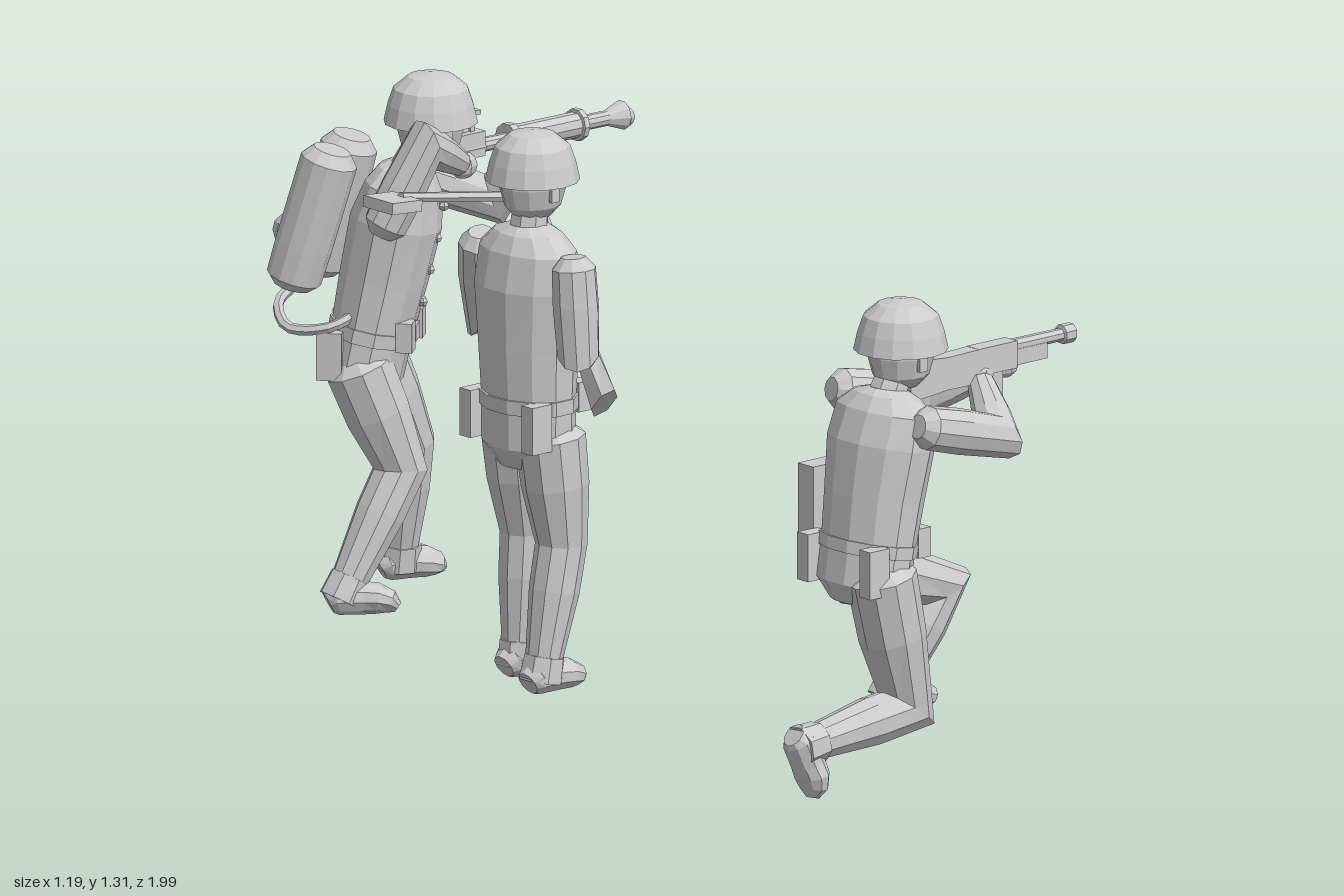
import * as THREE from 'three';

const grey = new THREE.MeshStandardMaterial({ color: 0xcccccc, flatShading: true });
grey.name = 'plain light grey';
const V = (p) => new THREE.Vector3(...p);
const UP = V([0, 1, 0]);

function add(parent, name, geometry, pos) {
  const m = new THREE.Mesh(geometry, grey);
  m.name = name;
  if (pos) m.position.copy(pos);
  parent.add(m);
  return m;
}

// Elliptical rings [point, radius along side, other radius] joined into a capped skin
function sweep(parent, name, rings, side, n = 10) {
  const pos = [], idx = [], k = 1 / Math.cos(Math.PI / n), last = rings.length - 1;
  rings.forEach(([c, ra, rb = ra], i) => {
    const a = rings[Math.max(i - 1, 0)][0], b = rings[Math.min(i + 1, last)][0];
    const d1 = c.clone().sub(a).normalize(), d2 = b.clone().sub(c).normalize();
    const t = d1.clone().add(d2).normalize();
    const miter = i > 0 && i < last ? 1 / Math.max(0.7, t.dot(d2)) : 1;
    const u = side.clone().addScaledVector(t, -side.dot(t)).normalize();
    const v = t.clone().cross(u);
    for (let j = 0; j < n; j++) {
      const w = (j + 0.5) / n * Math.PI * 2;
      const p = c.clone().addScaledVector(u, Math.cos(w) * ra * k).addScaledVector(v, Math.sin(w) * rb * k * miter);
      pos.push(p.x, p.y, p.z);
    }
  });
  for (let i = 0; i < last; i++) for (let j = 0; j < n; j++) {
    const a = i * n + j, b = i * n + (j + 1) % n;
    idx.push(a, b, b + n, a, b + n, a + n);
  }
  const e = last * n;
  for (let j = 1; j < n - 1; j++) idx.push(0, j + 1, j, e, e + j, e + j + 1);
  const g = new THREE.BufferGeometry();
  g.setAttribute('position', new THREE.Float32BufferAttribute(pos, 3));
  g.setIndex(idx);
  g.computeVertexNormals();
  return add(parent, name, g);
}

// Rings along one straight axis: stations are [fraction, radius a, radius b]
function along(parent, name, from, to, stations, side = V([0, 0, 1]), n = 10) {
  return sweep(parent, name, stations.map(([t, a, b]) => [V(from).lerp(V(to), t), a, b]), side, n);
}

// Two-segment limb bending at its middle joint
function limb(parent, name, pts, r) {
  const [a, b, c] = pts.map(V);
  const ab = b.clone().sub(a), bc = c.clone().sub(b);
  const side = ab.clone().cross(bc);
  sweep(parent, name, [
    [a.clone().addScaledVector(ab.clone().normalize(), -0.025), r[0] * 0.55],
    [a, r[0]], [a.clone().lerp(b, 0.45), r[1]], [b, r[2]],
    [b.clone().lerp(c, 0.4), r[3]], [c, r[4]]], side.normalize());
}

function arm(parent, name, pts) {
  limb(parent, name, pts, [0.046, 0.048, 0.044, 0.04, 0.028]);
  const dir = V(pts[2]).sub(V(pts[1])).normalize();
  const hand = add(parent, name + 'Hand', new THREE.SphereGeometry(0.034, 8, 6), V(pts[2]).addScaledVector(dir, 0.02));
  hand.scale.set(1, 0.9, 0.85);
}

function leg(parent, name, pts, foot) {
  limb(parent, name, pts, [0.073, 0.07, 0.053, 0.052, 0.038]);
  const ankle = V(pts[2]), d = V(foot).normalize(), shin = ankle.clone().sub(V(pts[1])).normalize();
  const side = d.clone().cross(shin).normalize();
  // Gaiter cuff
  sweep(parent, name + 'Gaiter', [[ankle.clone().addScaledVector(shin, -0.01), 0.042], [ankle.clone().addScaledVector(shin, 0.045), 0.045]], side, 8);
  // Boot
  const down = shin.clone().addScaledVector(d, -shin.dot(d)).normalize();
  const sole = ankle.clone().addScaledVector(down, 0.036);
  sweep(parent, name + 'Boot', [[-0.045, 0.026, 0.026], [-0.03, 0.038, 0.034], [0.03, 0.038, 0.034], [0.06, 0.043, 0.032],
    [0.088, 0.035, 0.024], [0.104, 0.015, 0.012]].map(([t, a, b]) =>
    [sole.clone().addScaledVector(d, t).addScaledVector(down, 0.034 - b), a, b]), side, 10);
}

function soldier(name, { pelvis, neck, head, yaw, headYaw = yaw, arms, legs, feet }) {
  const g = new THREE.Group();
  g.name = name;
  const f = V([Math.cos(yaw), 0, Math.sin(yaw)]), r = V([-Math.sin(yaw), 0, Math.cos(yaw)]);
  const at = (t, a, b) => V(pelvis).lerp(V(neck), t).addScaledVector(f, a).addScaledVector(r, b);
  // Jacket, belt and neck
  along(g, 'jacket', pelvis, neck, [[0, 0.07, 0.06], [0.09, 0.112, 0.085], [0.27, 0.113, 0.085], [0.5, 0.118, 0.092],
    [0.75, 0.13, 0.096], [0.9, 0.125, 0.08], [0.97, 0.085, 0.06], [1, 0.04, 0.04]], r, 12);
  along(g, 'belt', pelvis, neck, [[0.24, 0.117, 0.09], [0.3, 0.118, 0.091]], r, 12);
  sweep(g, 'neck', [[at(0.96, 0, 0), 0.04], [V(head), 0.036]], r, 8);
  // Buttons and belt pouches
  for (let i = 0; i < 4; i++) add(g, 'button', new THREE.SphereGeometry(0.012, 6, 4), at(0.4 + i * 0.14, 0.095, 0));
  const box = (n, s, p) => { add(g, n, new THREE.BoxGeometry(...s), p).rotation.y = -yaw; };
  box('buckle', [0.015, 0.035, 0.045], at(0.27, 0.092, 0));
  for (const s of [-1, 1]) {
    box('frontPouch', [0.035, 0.065, 0.045], at(0.28, 0.083, s * 0.065));
    box('sidePouch', [0.055, 0.105, 0.035], at(0.2, -0.066, s * 0.1));
  }
  // Head, nose, ears and helmet
  const h = new THREE.Group();
  h.name = 'head';
  h.position.set(...head);
  h.rotation.y = -headYaw;
  g.add(h);
  const X = V([1, 0, 0]);
  along(h, 'face', [0, -0.065, 0], [0, 0.06, 0], [[0, 0.04, 0.035], [0.2, 0.062, 0.056], [0.55, 0.073, 0.068], [1, 0.075, 0.07]], X, 12);
  along(h, 'nose', [0.068, 0.02, 0], [0.075, -0.018, 0], [[0, 0.006], [1, 0.013]], X, 4);
  for (const s of [-1, 1]) {
    add(h, 'ear', new THREE.BoxGeometry(0.022, 0.035, 0.01), V([0, -0.005, s * 0.07]));
    add(h, 'eye', new THREE.SphereGeometry(0.009, 6, 4), V([0.066, 0.012, s * 0.026]));
  }
  const profile = [[0, 0.012], [0.09, 0.012], [0.102, 0.015], [0.093, 0.055], [0.081, 0.09], [0.05, 0.116], [0, 0.125]];
  add(h, 'helmet', new THREE.LatheGeometry(profile.map((p) => new THREE.Vector2(...p)), 14));
  // Limbs
  arm(g, 'rightArm', arms[0]);
  arm(g, 'leftArm', arms[1]);
  leg(g, 'rightLeg', legs[0], feet[0]);
  leg(g, 'leftLeg', legs[1], feet[1]);
  return g;
}

export function createModel() {
  const model = new THREE.Group();
  model.name = 'soldiers';

  // Standing soldier with rifle across the chest
  const a = soldier('standingSoldier', {
    pelvis: [-0.285, 0.59, 0], neck: [-0.288, 1.12, 0], head: [-0.275, 1.2, 0], yaw: 0,
    arms: [[[-0.29, 1.05, 0.15], [-0.288, 0.87, 0.162], [-0.2, 0.84, 0.08]],
      [[-0.29, 1.05, -0.15], [-0.245, 0.88, -0.195], [-0.165, 0.95, -0.1]]],
    legs: [[[-0.278, 0.66, 0.06], [-0.255, 0.42, 0.07], [-0.305, 0.17, 0.07]],
      [[-0.272, 0.66, -0.06], [-0.235, 0.42, -0.07], [-0.25, 0.17, -0.07]]],
    feet: [[1, 0, 0], [1, 0, 0]],
  });
  const butt = [-0.225, 0.745, 0.175], muzzle = [-0.06, 1.15, -0.28];
  const flat = V([1, -0.2, 0.2]);
  along(a, 'rifleStock', butt, muzzle, [[0, 0.02, 0.042], [0.2, 0.02, 0.03], [0.3, 0.016, 0.02], [0.36, 0.02, 0.025],
    [0.6, 0.02, 0.023], [0.9, 0.015, 0.018]], flat, 6);
  along(a, 'rifleBarrel', butt, muzzle, [[0.88, 0.012], [1, 0.012]], flat, 8);
  along(a, 'muzzleBand', butt, muzzle, [[0.95, 0.018], [0.99, 0.018]], flat, 8);
  add(a, 'boltKnob', new THREE.SphereGeometry(0.018, 8, 6), V([-0.14, 0.92, 0.01]));
  // Spade carried behind
  add(a, 'spadeBlade', new THREE.BoxGeometry(0.085, 0.025, 0.095), V([-0.553, 1.183, -0.137])).rotation.z = -0.08;
  along(a, 'spadeShaft', [-0.53, 1.192, -0.137], [-0.115, 1.122, -0.137], [[0, 0.01], [1, 0.01]], UP, 6);
  model.add(a);

  // Standing soldier with tanks and shoulder-aimed launcher
  const b = soldier('tankSoldier', {
    pelvis: [-0.09, 0.56, -0.77], neck: [0, 1.06, -0.71], head: [0.032, 1.138, -0.675], yaw: 0.9, headYaw: 0.2,
    arms: [[[-0.12, 0.955, -0.65], [-0.05, 1.13, -0.6], [0.08, 1.06, -0.64]],
      [[0.08, 1.01, -0.815], [0.27, 0.925, -0.74], [0.28, 1.035, -0.67]]],
    legs: [[[-0.13, 0.63, -0.725], [-0.055, 0.4, -0.675], [-0.185, 0.17, -0.695]],
      [[-0.025, 0.63, -0.81], [0.08, 0.41, -0.8], [0.085, 0.17, -0.835]]],
    feet: [[0.8, 0, 0.6], [0.95, 0, 0.3]],
  });
  // Launcher tube with rings, flare and tip
  along(b, 'launcher', [0, 1.083, -0.657], [0.56, 1.077, -0.657], [[0, 0.02], [0.28, 0.02], [0.281, 0.015], [0.41, 0.015], [0.411, 0.034],
    [0.445, 0.034], [0.446, 0.027], [0.76, 0.027], [0.761, 0.034], [0.785, 0.034], [0.786, 0.016], [0.92, 0.016], [1, 0.031]], UP, 10);
  add(b, 'launcherTip', new THREE.SphereGeometry(0.024, 8, 6), V([0.567, 1.072, -0.657]));
  add(b, 'launcherGrip', new THREE.BoxGeometry(0.09, 0.055, 0.04), V([0.11, 1.09, -0.657]));
  add(b, 'sightBar', new THREE.BoxGeometry(0.06, 0.01, 0.02), V([0.12, 1.158, -0.657]));
  add(b, 'sightPost', new THREE.BoxGeometry(0.012, 0.05, 0.012), V([0.13, 1.133, -0.657]));
  // Twin back tanks and pressure ball
  const tank = [[0, 0.04], [0.06, 0.058], [0.3, 0.06], [0.92, 0.06], [1, 0.04]];
  along(b, 'tank', [-0.18, 0.785, -0.885], [-0.125, 1.09, -0.815], tank, V([1, 0, 0]), 12);
  along(b, 'tank', [-0.055, 0.785, -0.945], [-0.012, 1.09, -0.88], tank, V([1, 0, 0]), 12);
  add(b, 'pressureBall', new THREE.SphereGeometry(0.038, 8, 6), V([-0.135, 0.89, -0.94]));
  along(b, 'tankBracket', [-0.16, 0.95, -0.855], [-0.04, 0.95, -0.915], [[0, 0.02], [1, 0.02]], UP, 4);
  // Hose looping from the tank to the belt
  const hose = new THREE.CatmullRomCurve3([[-0.17, 0.79, -0.88], [-0.24, 0.76, -0.86],
    [-0.25, 0.72, -0.82], [-0.2, 0.725, -0.74], [-0.11, 0.765, -0.71]].map(V));
  add(b, 'hose', new THREE.TubeGeometry(hose, 16, 0.012, 6));
  model.add(b);

  // Kneeling soldier aiming a short gun
  const c = soldier('kneelingSoldier', {
    pelvis: [-0.045, 0.4, 0.8], neck: [0.03, 0.86, 0.8], head: [0.068, 0.925, 0.8], yaw: 0,
    arms: [[[0.02, 0.8, 0.938], [0.215, 0.75, 0.948], [0.27, 0.835, 0.83]],
      [[0.03, 0.825, 0.65], [0.235, 0.785, 0.685], [0.35, 0.845, 0.785]]],
    legs: [[[-0.045, 0.47, 0.865], [0.025, 0.165, 0.865], [-0.235, 0.135, 0.865]],
      [[-0.02, 0.455, 0.735], [0.235, 0.372, 0.735], [0.12, 0.18, 0.725]]],
    feet: [[0.4, -1, 0.1], [1, 0, 0]],
  });
  // Gun with stock, magazine, handguard and barrel
  const aim = 0.815;
  along(c, 'gunStock', [0.07, 0.87, aim], [0.28, 0.872, aim], [[0, 0.045, 0.016], [0.5, 0.036, 0.018], [1, 0.038, 0.02]], UP, 4);
  add(c, 'receiver', new THREE.BoxGeometry(0.11, 0.06, 0.04), V([0.315, 0.88, aim]));
  add(c, 'magazine', new THREE.BoxGeometry(0.036, 0.11, 0.026), V([0.317, 0.82, aim]));
  add(c, 'handguard', new THREE.BoxGeometry(0.09, 0.035, 0.03), V([0.415, 0.872, aim]));
  along(c, 'barrel', [0.35, 0.895, aim], [0.54, 0.895, aim], [[0, 0.014], [0.84, 0.013], [0.85, 0.02], [1, 0.02]], UP, 8);
  // Side pack
  add(c, 'sidePack', new THREE.BoxGeometry(0.08, 0.16, 0.05), V([-0.04, 0.6, 0.66]));
  model.add(c);
  return model;
}
